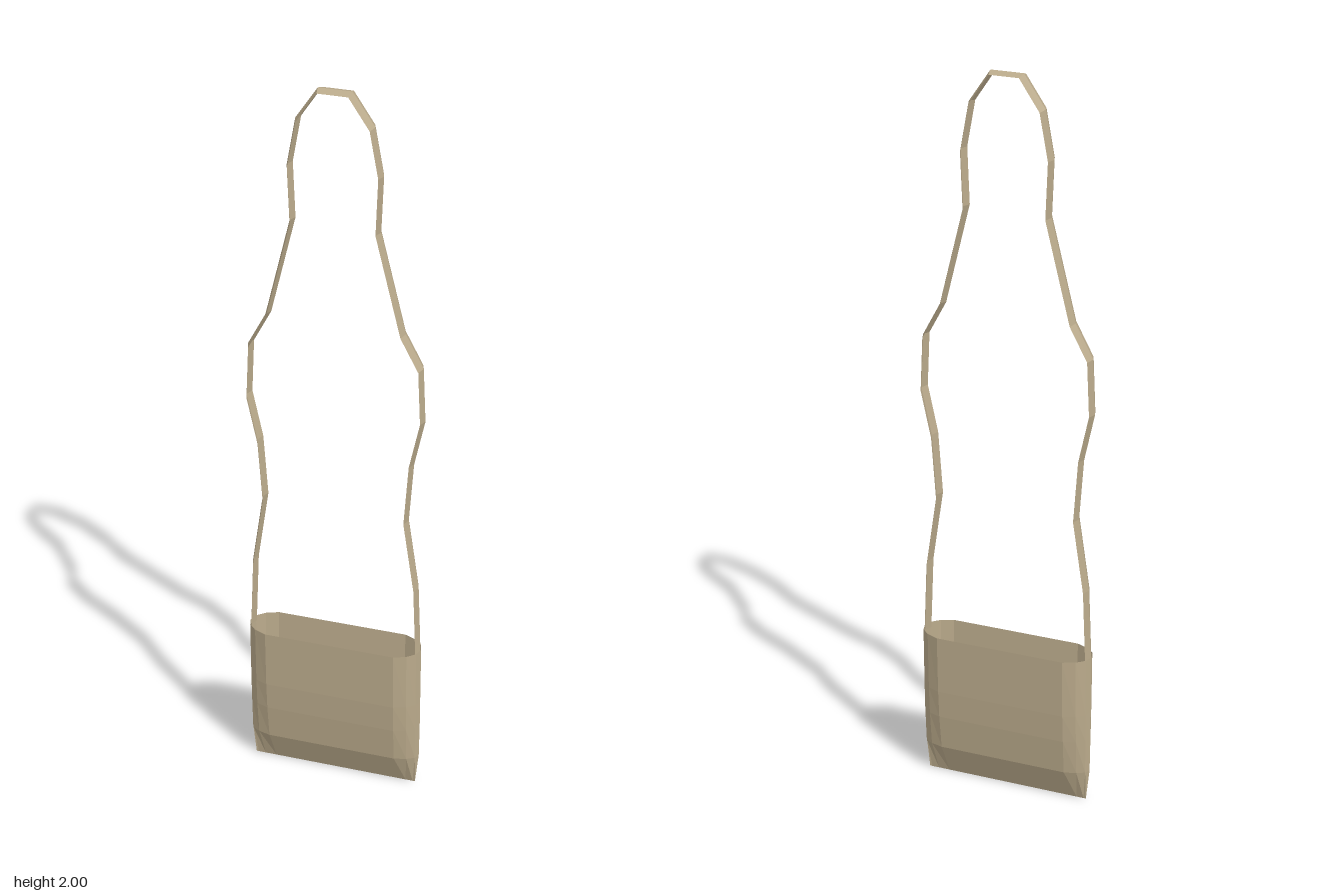
import * as THREE from 'three';

// Joins rows of points into a flat-shaded sheet
function sheet(rows, closed) {
  const pos = [];
  const n = rows[0].length;
  for (let i = 0; i < rows.length - 1; i++) {
    for (let j = 0; j < (closed ? n : n - 1); j++) {
      const k = (j + 1) % n;
      const a = rows[i][j], b = rows[i][k], c = rows[i + 1][k], d = rows[i + 1][j];
      pos.push(...a, ...b, ...c, ...a, ...c, ...d);
    }
  }
  const g = new THREE.BufferGeometry();
  g.setAttribute('position', new THREE.Float32BufferAttribute(pos, 3));
  g.computeVertexNormals();
  return g;
}

export function createModel() {
  const group = new THREE.Group();
  const canvas = new THREE.MeshStandardMaterial({ color: 0xbbab8c, side: THREE.DoubleSide });
  canvas.name = 'beige canvas';

  const add = (name, geometry) => {
    const mesh = new THREE.Mesh(geometry, canvas);
    mesh.name = name;
    group.add(mesh);
  };

  // Pouch: open at the top, tapering to a straight seam at the bottom
  const corner = [[0.241, 0], [0.234, 0.024], [0.213, 0.044], [0.18, 0.058]];
  const outline = [
    ...corner,
    ...corner.slice(1).reverse().map(([x, z]) => [-x, z]),
    ...corner.map(([x, z]) => [-x, -z]),
    ...corner.slice(1).reverse().map(([x, z]) => [x, -z]),
  ];
  // height, width scale, depth scale
  const levels = [[0, 0.955, 0], [0.09, 0.995, 0.62], [0.19, 1, 0.82], [0.27, 1, 0.92], [0.435, 1, 1]];
  add('pouch', sheet(levels.map(([y, sx, sz]) => outline.map(([x, z]) => [x * sx, y, z * sz])), true));

  // Strap: a ribbon with a ridge along its outside
  const half = [
    [0.24, 0.42], [0.238, 0.46], [0.231, 0.63], [0.201, 0.83], [0.213, 1.0], [0.241, 1.13],
    [0.234, 1.28], [0.186, 1.37], [0.119, 1.64], [0.125, 1.79], [0.102, 1.915], [0.044, 2.0],
  ];
  const path = [...half, ...half.slice().reverse().map(([x, y]) => [-x, y])]
    .map(([x, y]) => new THREE.Vector2(x, y));
  const rows = path.map((p, i) => {
    const prev = path[Math.max(i - 1, 0)];
    const next = path[Math.min(i + 1, path.length - 1)];
    const t = next.clone().sub(prev).normalize();
    const inset = 0.008;
    const ex = p.x - t.y * inset, ey = p.y + t.x * -(-inset);
    return [[ex, ey, 0.023], [p.x, p.y, 0], [ex, ey, -0.023]];
  });
  add('strap', sheet(rows, false));

  return group;
}
